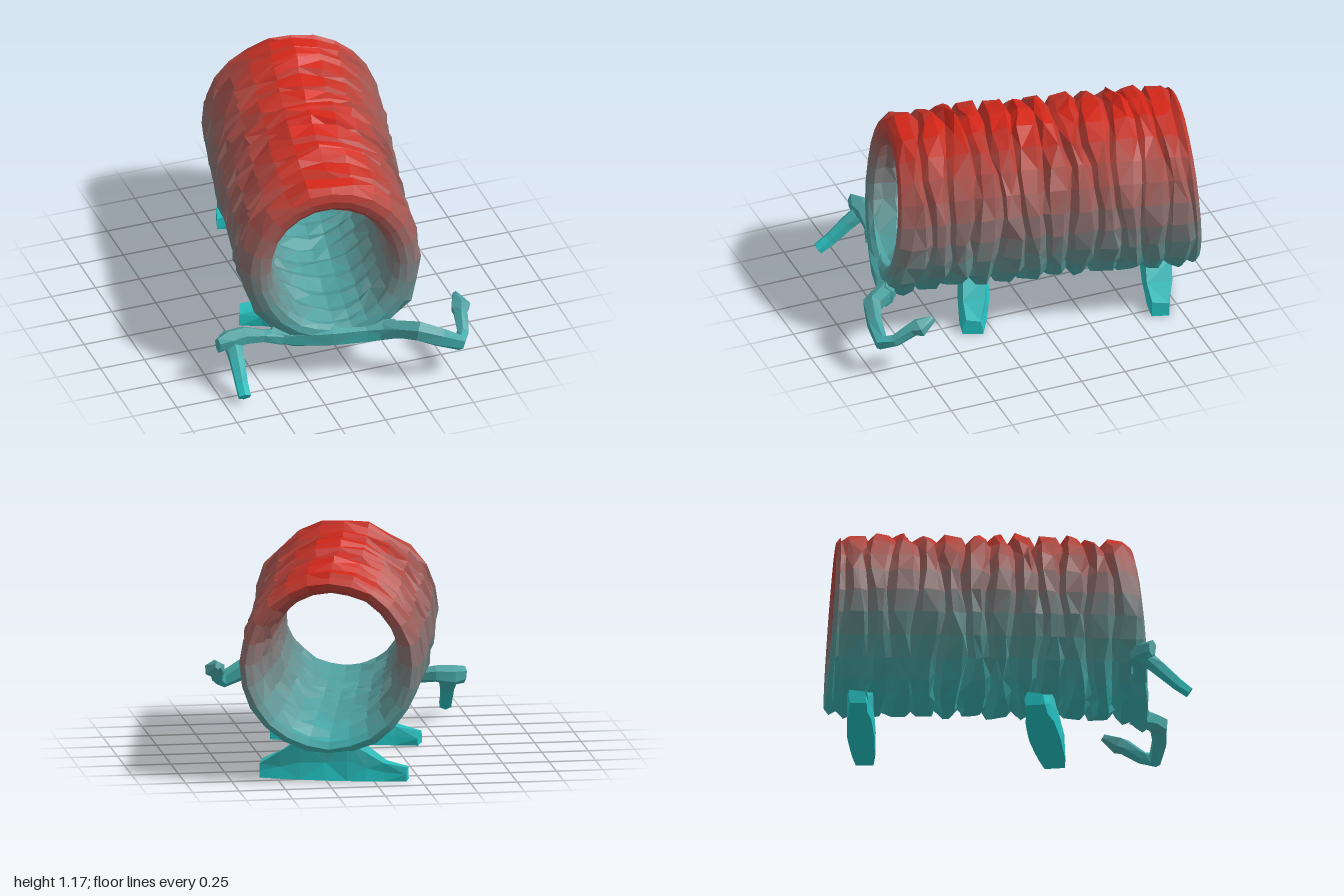
import * as THREE from 'three';

const V = (x, y, z) => new THREE.Vector3(x, y, z);
const BANDS = 24, HEIGHT = 1.16;

// Colour fades from teal at the ground through grey to red at the top
const STOPS = [[0, [0.12, 0.78, 0.78]], [0.55, [0.5, 0.46, 0.46]], [0.87, [0.7, 0.27, 0.24]], [1, [0.86, 0.13, 0.07]]];
const bandMaterials = Array.from({ length: BANDS }, (_, i) => {
  const t = (i + 0.5) / BANDS;
  const s = STOPS.findIndex(([end]) => end > t);
  const [[t0, low], [t1, high]] = [STOPS[s - 1], STOPS[s]];
  const [r, g, b] = low.map((c, k) => c + (high[k] - c) * (t - t0) / (t1 - t0));
  const color = new THREE.Color().setRGB(r, g, b, THREE.SRGBColorSpace);
  return new THREE.MeshStandardMaterial({ color, flatShading: true });
});

// Repeatable noise in -1..1
function noise(i, j) {
  const s = Math.sin(i * 127.1 + j * 311.7) * 43758.5453;
  return 2 * (s - Math.floor(s)) - 1;
}

// Skin closed cross-sections; either loop round to the first or cap both ends
function skin(sections, loop) {
  const tris = [], n = sections.length, m = sections[0].length;
  for (let i = 0; i < (loop ? n : n - 1); i++) {
    const a = sections[i], b = sections[(i + 1) % n];
    for (let j = 0; j < m; j++) {
      const k = (j + 1) % m;
      if ((i + j) % 2) tris.push([a[j], b[j], b[k]], [a[j], b[k], a[k]]);
      else tris.push([a[j], b[j], a[k]], [a[k], b[j], b[k]]);
    }
  }
  if (!loop) {
    for (const [s, flip] of [[sections[0], false], [sections[n - 1], true]]) {
      for (let j = 1; j < m - 1; j++) tris.push(flip ? [s[0], s[j + 1], s[j]] : [s[0], s[j], s[j + 1]]);
    }
  }
  // Turn every face outward
  const volume = tris.reduce((sum, [a, b, c]) => sum + a.dot(b.clone().cross(c)), 0);
  if (volume < 0) tris.forEach(t => t.reverse());
  return tris;
}

// One mesh per colour band, gathered in a named group
function banded(name, tris) {
  const group = new THREE.Group();
  group.name = name;
  const bands = Array.from({ length: BANDS }, () => []);
  for (const t of tris) {
    const y = (t[0].y + t[1].y + t[2].y) / 3;
    bands[THREE.MathUtils.clamp(Math.floor(y / HEIGHT * BANDS), 0, BANDS - 1)].push(...t);
  }
  bands.forEach((pts, i) => {
    if (!pts.length) return;
    const geo = new THREE.BufferGeometry().setFromPoints(pts);
    geo.computeVertexNormals();
    const mesh = new THREE.Mesh(geo, bandMaterials[i]);
    mesh.name = `${name}Band${i + 1}`;
    group.add(mesh);
  });
  return group;
}

// Ribbed, slightly irregular hollow barrel, lying at a slant with a gentle bend
function barrel() {
  const front = V(-0.07, 0.64, 0.71), back = V(0.25, 0.64, -0.9);
  const axis = back.clone().sub(front), length = axis.length();
  const dir = axis.clone().normalize(), side = V(-dir.z, 0, dir.x), up = V(0, 1, 0);
  const SIDES = 24, RIBS = 12;
  // Raised patches on top: [place, half length, height]
  const humps = [[0.22, 0.06, 0.035], [0.45, 0.09, 0.035], [0.83, 0.07, 0.04]];

  // Profile entries: [place along the barrel, radius, rib strength]
  const profile = [[0, 0.4, 0], [0.008, 0.445, 0]];
  for (let r = 0; r < RIBS; r++) {
    const t = 0.03 + 0.95 * r / RIBS, w = 0.95 / RIBS;
    const calm = r > 7 ? 0.65 : 1;
    profile.push([t + w * 0.12, 0.477, calm], [t + w * 0.6, 0.487, calm], [t + w * 0.9, 0.482 - 0.043 * calm, calm]);
  }
  profile.push([0.985, 0.475, 0], [1, 0.445, 0], [0.99, 0.41, 0]);
  for (let r = 23; r > 0; r--) {
    const t = r / 24;
    profile.push([t, 0.323 + 0.075 * t ** 4 + (r % 2 ? 0.017 : -0.01), 0.6]);
  }
  profile.push([0.02, 0.335, 0], [0.006, 0.36, 0]);

  const sections = profile.map(([t, r, rib], i) => {
    const bend = -0.03 * Math.cos(Math.PI * Math.min(1, Math.abs(t - 0.3) / 0.7) / 2);
    return Array.from({ length: SIDES }, (_, j) => {
      const a = j / SIDES * Math.PI * 2, height = Math.sin(a);
      const wander = rib && 0.011 * Math.sin(a * 3 + Math.floor(i / 3) * 1.7) + 0.007 * noise(i, j);
      // Both rims reach further out at the bottom
      const tilt = 0.028 * height * (1 - t) ** 4 - 0.015 * height * t ** 4;
      let radius = r + 0.013 * rib * noise(i + 40, j) + 0.004 * noise(i, j + 9);
      if (r > 0.43) {
        for (const [ht, half, h] of humps) {
          radius += h * Math.exp(-(((t - ht) / half) ** 4)) * Math.max(0, height) ** 14;
        }
      }
      return front.clone()
        .addScaledVector(dir, (t + wander + tilt) * length)
        .addScaledVector(side, Math.cos(a) * radius + bend)
        .addScaledVector(up, height * radius);
    });
  });
  return banded('barrel', skin(sections, true));
}

// Faceted limb along a path of [x, y, z, half width, half height]
function limb(name, path, sides = 6) {
  const pts = path.map(([x, y, z]) => V(x, y, z));
  const sections = path.map(([, , , w, h], i) => {
    const tangent = pts[Math.min(i + 1, pts.length - 1)].clone().sub(pts[Math.max(i - 1, 0)]).normalize();
    const across = tangent.clone().cross(V(0, 1, 0)).normalize();
    const up = across.clone().cross(tangent);
    return Array.from({ length: sides }, (_, j) => {
      const a = (j + 0.5) / sides * Math.PI * 2, k = 1 + 0.12 * noise(i, j);
      return pts[i].clone().addScaledVector(across, Math.cos(a) * w * k).addScaledVector(up, Math.sin(a) * h * k);
    });
  });
  return banded(name, skin(sections, false));
}

// Narrow flat-bottomed foot bar with a neck rising into the barrel;
// stations are [place along, width factor, shoulder height, top height]
function foot(name, start, end, width, topSpread) {
  const stations = [
    [0, 0.75, 0.05, 0.075], [0.15, 0.9, 0.06, 0.09], [0.27, 1, 0.08, 0.165], [0.4, 1.1, 0.1, 0.21],
    [0.55, 1.1, 0.1, 0.22], [0.72, 1.1, 0.1, 0.22], [0.86, 0.95, 0.07, 0.14], [1, 0.75, 0.05, 0.075],
  ];
  const along = end.clone().sub(start), across = V(-along.z, 0, along.x).normalize();
  const sections = stations.map(([t, k, shoulder, top], i) => {
    const w = width * k;
    return [[-w, 0], [w, 0], [w, shoulder], [w * topSpread, top], [-w * topSpread, top], [-w, shoulder]]
      .map(([o, y], j) => start.clone().addScaledVector(along, t)
        .addScaledVector(across, o * (1 + 0.15 * noise(i, j)))
        .setY(y && y + 0.012 * noise(i + 5, j)));
  });
  return banded(name, skin(sections, false));
}

export function createModel() {
  const model = new THREE.Group();
  model.name = 'ribbedBarrelOnFeet';
  model.add(barrel());

  // Slanting feet under the barrel
  model.add(foot('frontFoot', V(-0.39, 0, 0.06), V(0.36, 0, 0.36), 0.07, 0.8));
  model.add(foot('backFoot', V(-0.18, 0, -0.86), V(0.575, 0, -0.63), 0.06, 1.1));

  // Swelling of the lower front rim that joins the two arms
  model.add(limb('frontYoke', [
    [-0.42, 0.26, 0.62, 0.04, 0.05], [-0.3, 0.235, 0.655, 0.05, 0.06], [-0.1, 0.235, 0.705, 0.06, 0.07],
    [0.08, 0.24, 0.745, 0.06, 0.07], [0.22, 0.26, 0.81, 0.05, 0.06],
  ]));

  // Arm on the right, its claw hanging forward and down
  model.add(limb('rightArm', [
    [-0.36, 0.24, 0.645, 0.045, 0.05], [-0.46, 0.255, 0.62, 0.04, 0.04], [-0.56, 0.265, 0.595, 0.055, 0.045],
    [-0.65, 0.255, 0.6, 0.06, 0.055], [-0.72, 0.25, 0.625, 0.025, 0.045],
  ]));
  model.add(limb('rightClaw', [
    [-0.625, 0.26, 0.58, 0.06, 0.045], [-0.635, 0.18, 0.68, 0.045, 0.045],
    [-0.645, 0.09, 0.78, 0.035, 0.035], [-0.65, 0.045, 0.845, 0.035, 0.03],
  ]));

  // Arm on the left, bent forward and hooked back
  model.add(limb('leftArm', [
    [0.12, 0.24, 0.75, 0.05, 0.06], [0.23, 0.28, 0.85, 0.055, 0.055], [0.31, 0.295, 0.925, 0.05, 0.06],
    [0.42, 0.25, 0.955, 0.04, 0.055], [0.53, 0.195, 0.96, 0.04, 0.045], [0.57, 0.22, 0.9, 0.035, 0.035],
    [0.59, 0.28, 0.81, 0.04, 0.04], [0.605, 0.29, 0.77, 0.06, 0.05], [0.6, 0.33, 0.69, 0.015, 0.02],
  ]));
  return model;
}
